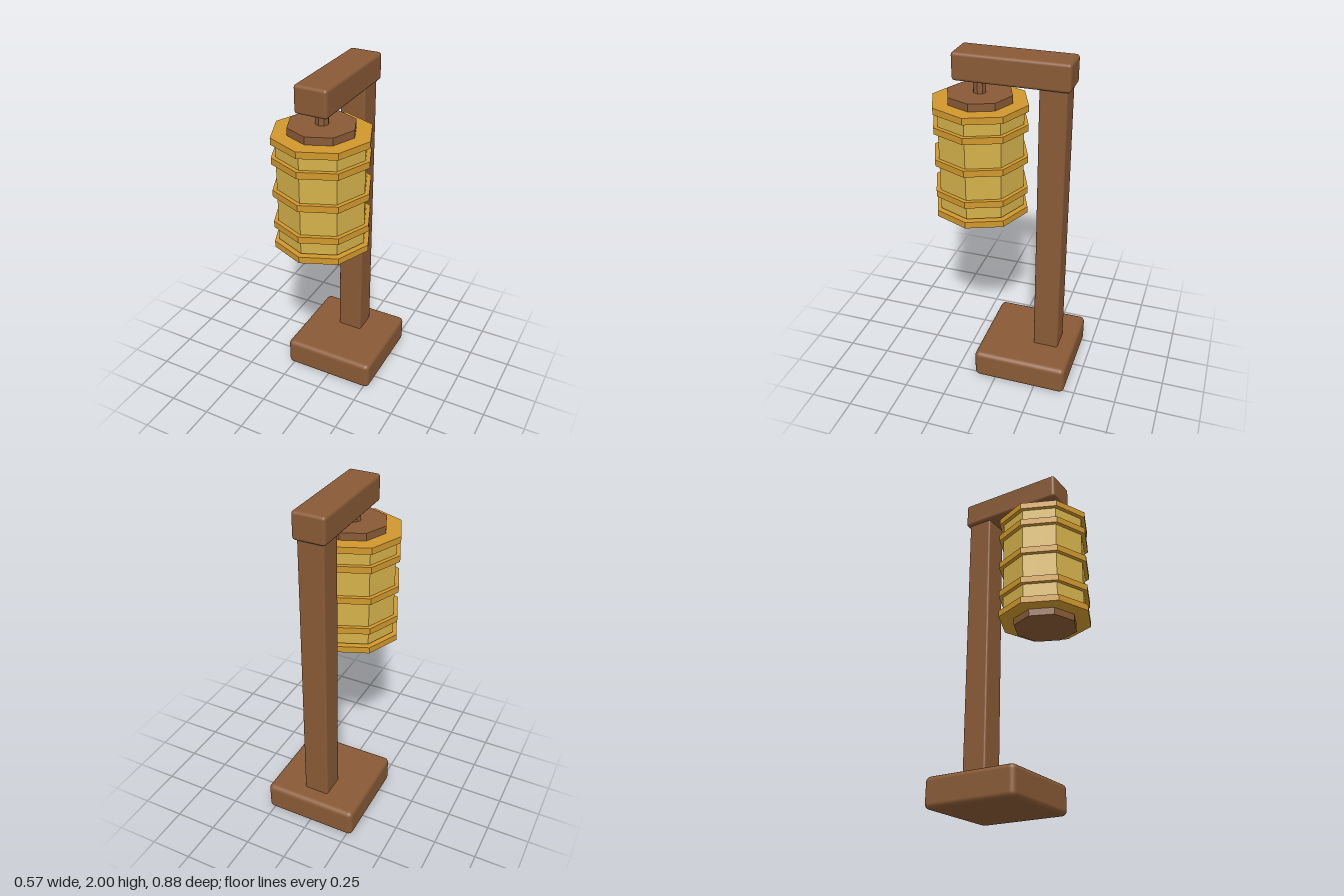
import * as THREE from 'three';
import { RoundedBoxGeometry } from 'three/addons/geometries/RoundedBoxGeometry.js';

export function createModel() {
  const group = new THREE.Group();
  const material = (name, color) => {
    const m = new THREE.MeshStandardMaterial({ color });
    m.name = name;
    return m;
  };
  const wood = material('brown wood', 0x895a36);
  const paper = material('pale gold paper', 0xd4b14b);
  const brass = material('amber rib', 0xd0982d);

  const add = (parent, name, geometry, mat, y, z) => {
    const mesh = new THREE.Mesh(geometry, mat);
    mesh.name = name;
    mesh.position.set(0, y, z);
    parent.add(mesh);
  };

  // Softly rounded timber, given by its bottom/top and back/front limits
  const timber = (name, width, y0, y1, z0, z1, radius) =>
    add(group, name, new RoundedBoxGeometry(width, y1 - y0, z1 - z0, 3, radius),
      wood, (y0 + y1) / 2, (z0 + z1) / 2);

  timber('base', 0.568, 0, 0.177, -0.438, 0.13, 0.03);
  timber('post', 0.152, 0.15, 1.87, -0.341, -0.189, 0.012);
  timber('arm', 0.189, 1.845, 2, -0.36, 0.288, 0.018);

  // Octagonal lantern hanging under the arm, with a corner facing forward
  const lantern = new THREE.Group();
  lantern.name = 'lantern';
  lantern.position.z = 0.162;
  group.add(lantern);
  const prism = (name, radius, y0, y1, mat) =>
    add(lantern, name,
      new THREE.CylinderGeometry(radius, radius, y1 - y0, 8).toNonIndexed(),
      mat, (y0 + y1) / 2, 0);
  prism('hanger', 0.037, 1.75, 1.86, wood);
  prism('topCap', 0.188, 1.7, 1.765, wood);
  prism('bottomCap', 0.188, 1.022, 1.08, wood);
  prism('shade', 0.252, 1.111, 1.69, paper);

  // Ribs around the shade
  [1.703, 1.591, 1.401, 1.21, 1.083].forEach((y, i) =>
    prism(`rib${i + 1}`, 0.277, y - 0.019, y + 0.019, brass));

  // Faceted sides on every prism
  lantern.traverse((o) => {
    if (o.isMesh) o.geometry.computeVertexNormals();
  });

  return group;
}
